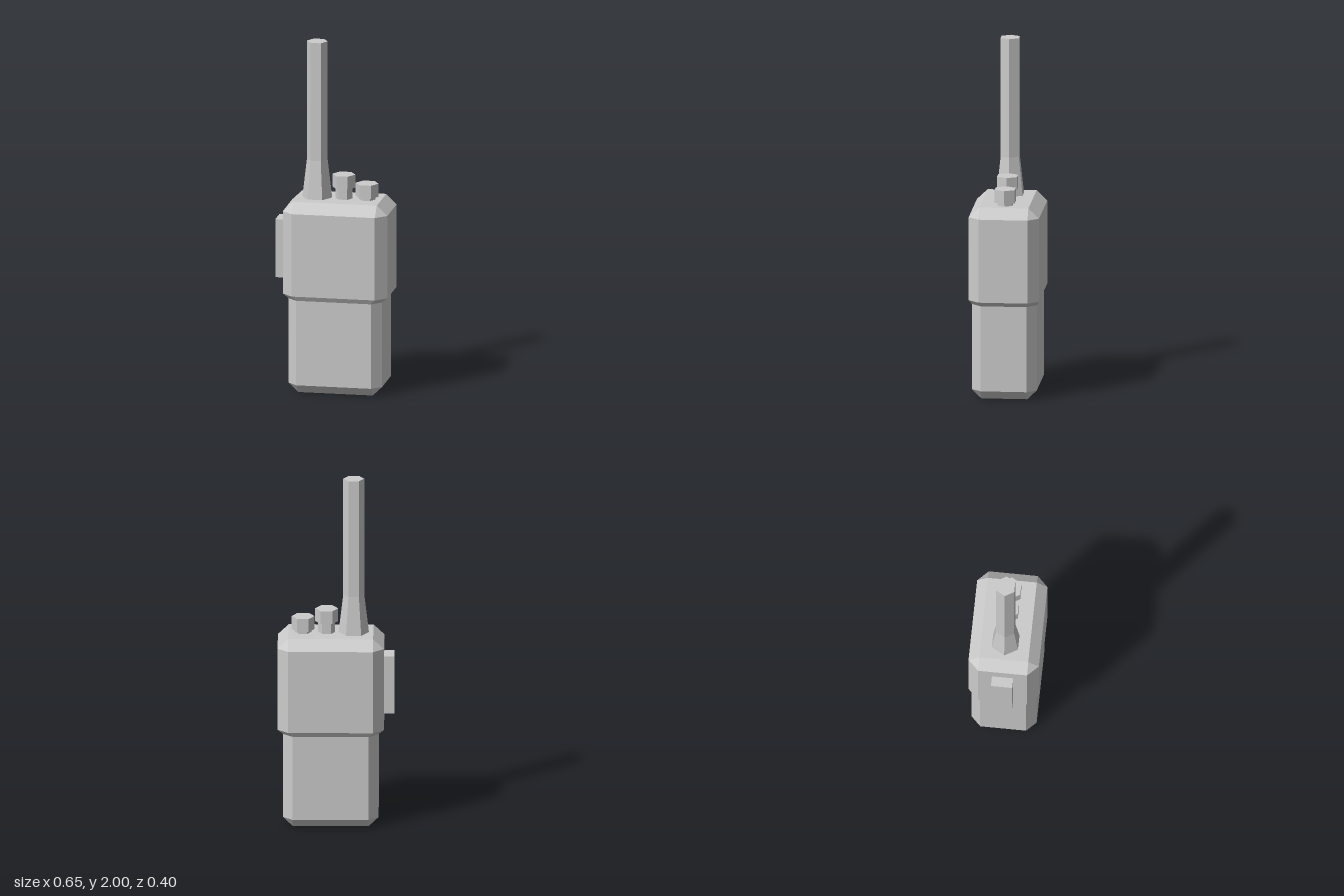
import * as THREE from 'three';

const material = new THREE.MeshStandardMaterial({ color: 0xcccccc, flatShading: true });

// Rectangle with cut corners, counterclockwise seen from above
function ring({ y, w, d, c }) {
  return [
    [w - c, d], [w, d - c], [w, c - d], [w - c, -d],
    [c - w, -d], [-w, c - d], [-w, d - c], [c - w, d],
  ].map(([x, z]) => new THREE.Vector3(x, y, z));
}

// Skin a stack of rings from bottom to top and close both ends
function loft(sections) {
  const rings = sections.map(ring);
  const positions = [];
  const tri = (a, b, c) => {
    const area = b.clone().sub(a).cross(c.clone().sub(a)).length();
    if (area > 1e-8) for (const p of [a, b, c]) positions.push(p.x, p.y, p.z);
  };
  for (let r = 0; r < rings.length - 1; r++) {
    const lo = rings[r], hi = rings[r + 1];
    for (let i = 0; i < 8; i++) {
      const j = (i + 1) % 8;
      tri(lo[i], lo[j], hi[j]);
      tri(lo[i], hi[j], hi[i]);
    }
  }
  const bottom = rings[0], top = rings[rings.length - 1];
  for (let i = 1; i < 7; i++) {
    tri(bottom[0], bottom[i + 1], bottom[i]);
    tri(top[0], top[i], top[i + 1]);
  }
  const geometry = new THREE.BufferGeometry();
  geometry.setAttribute('position', new THREE.Float32BufferAttribute(positions, 3));
  geometry.computeVertexNormals();
  return geometry;
}

// Six-sided column with corners pointing along x
function hex(rTop, rBottom, y0, y1, open = false) {
  return new THREE.CylinderGeometry(rTop, rBottom, y1 - y0, 6, 1, open, Math.PI / 6)
    .translate(0, (y0 + y1) / 2, 0);
}

export function createModel() {
  const model = new THREE.Group();
  model.name = 'handheldRadio';

  const add = (name, geometry, x, parent = model) => {
    const mesh = new THREE.Mesh(geometry, material);
    mesh.name = name;
    mesh.position.x = x;
    parent.add(mesh);
  };

  // Body: narrow grip, step outwards, wider head with bevelled top
  add('body', loft([
    { y: 0, w: 0.213, d: 0.129, c: 0 },
    { y: 0.052, w: 0.267, d: 0.183, c: 0.054 },
    { y: 0.54, w: 0.267, d: 0.183, c: 0.054 },
    { y: 0.567, w: 0.298, d: 0.198, c: 0.06 },
    { y: 1.043, w: 0.298, d: 0.198, c: 0.06 },
    { y: 1.1, w: 0.238, d: 0.138, c: 0 },
  ]), 0.028);

  // Antenna: flared foot below a straight rod
  const antenna = new THREE.Group();
  antenna.name = 'antenna';
  model.add(antenna);
  add('antennaFoot', hex(0.059, 0.085, 1.1, 1.32, true), -0.1, antenna);
  add('antennaRod', hex(0.059, 0.059, 1.32, 2), -0.1, antenna);

  // Two knobs on stems
  for (const [name, x, y0, y1] of [['innerKnob', 0.052, 1.163, 1.238], ['outerKnob', 0.184, 1.117, 1.192]]) {
    const knob = new THREE.Group();
    knob.name = name;
    model.add(knob);
    add(name + 'Stem', hex(0.048, 0.048, 1.09, y0), x, knob);
    add(name + 'Cap', hex(0.065, 0.065, y0, y1), x, knob);
  }

  // Talk button on the side
  add('talkButton', new THREE.BoxGeometry(0.07, 0.335, 0.12).translate(0, 0.807, 0), -0.293);

  return model;
}
